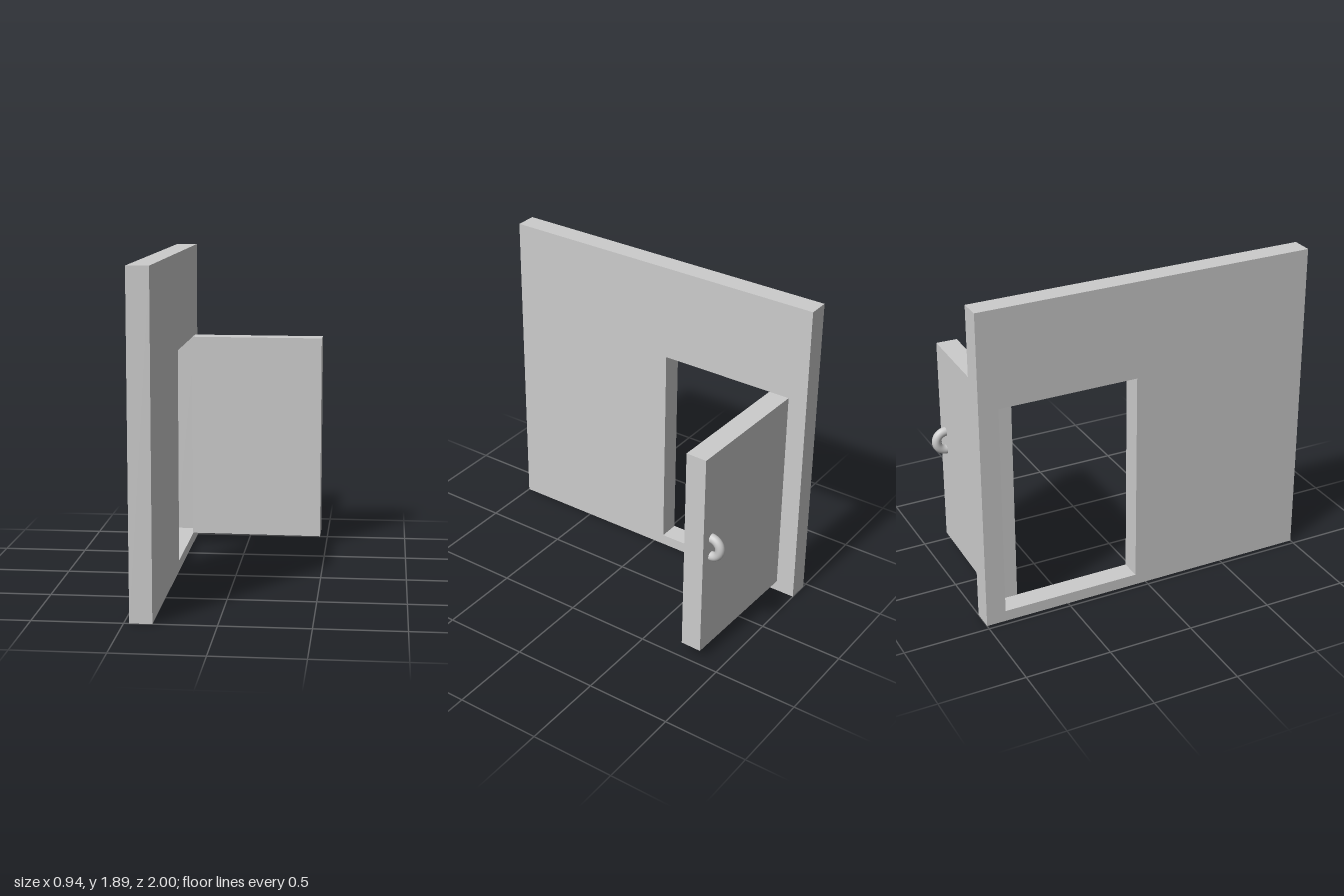
import * as THREE from 'three';

const material = new THREE.MeshStandardMaterial({ color: 0xcccccc });

function addMesh(parent, geometry, name) {
  const mesh = new THREE.Mesh(geometry, material);
  mesh.name = name;
  parent.add(mesh);
  return mesh;
}

function rectangle(Path, x0, y0, x1, y1) {
  return new Path([[x0, y0], [x1, y0], [x1, y1], [x0, y1]].map(([x, y]) => new THREE.Vector2(x, y)));
}

export function createModel() {
  const model = new THREE.Group();
  const thickness = 0.124, wallFace = -0.346;
  const hingeZ = -0.886, sill = 0.065, lintel = 1.325;

  // Wall slab with a doorway, drawn in (-z, y) and turned to face +x
  const outline = rectangle(THREE.Shape, -1, 0, 1, 1.89);
  outline.holes.push(rectangle(THREE.Path, 0.067, sill, -hingeZ, lintel));
  const wallGeometry = new THREE.ExtrudeGeometry(outline, { depth: thickness, bevelEnabled: false });
  wallGeometry.rotateY(Math.PI / 2).translate(wallFace - thickness, 0, 0);
  addMesh(model, wallGeometry, 'wall');

  // Door swung open on its hinge edge, slightly short of a right angle
  const door = new THREE.Group();
  door.name = 'door';
  door.position.set(wallFace, 0, hingeZ);
  door.rotation.y = -0.022;
  model.add(door);
  const width = 0.812, height = lintel - sill;
  addMesh(door, new THREE.BoxGeometry(width, height, thickness), 'doorPanel')
    .position.set(width / 2, sill + height / 2, thickness / 2);

  // Half-ring pull handle on the outer face
  const handleGeometry = new THREE.TorusGeometry(0.058, 0.027, 20, 32, Math.PI);
  handleGeometry.rotateZ(Math.PI / 2).rotateY(-Math.PI / 2);
  addMesh(door, handleGeometry, 'handle').position.set(0.734, 0.735, 0);

  return model;
}
